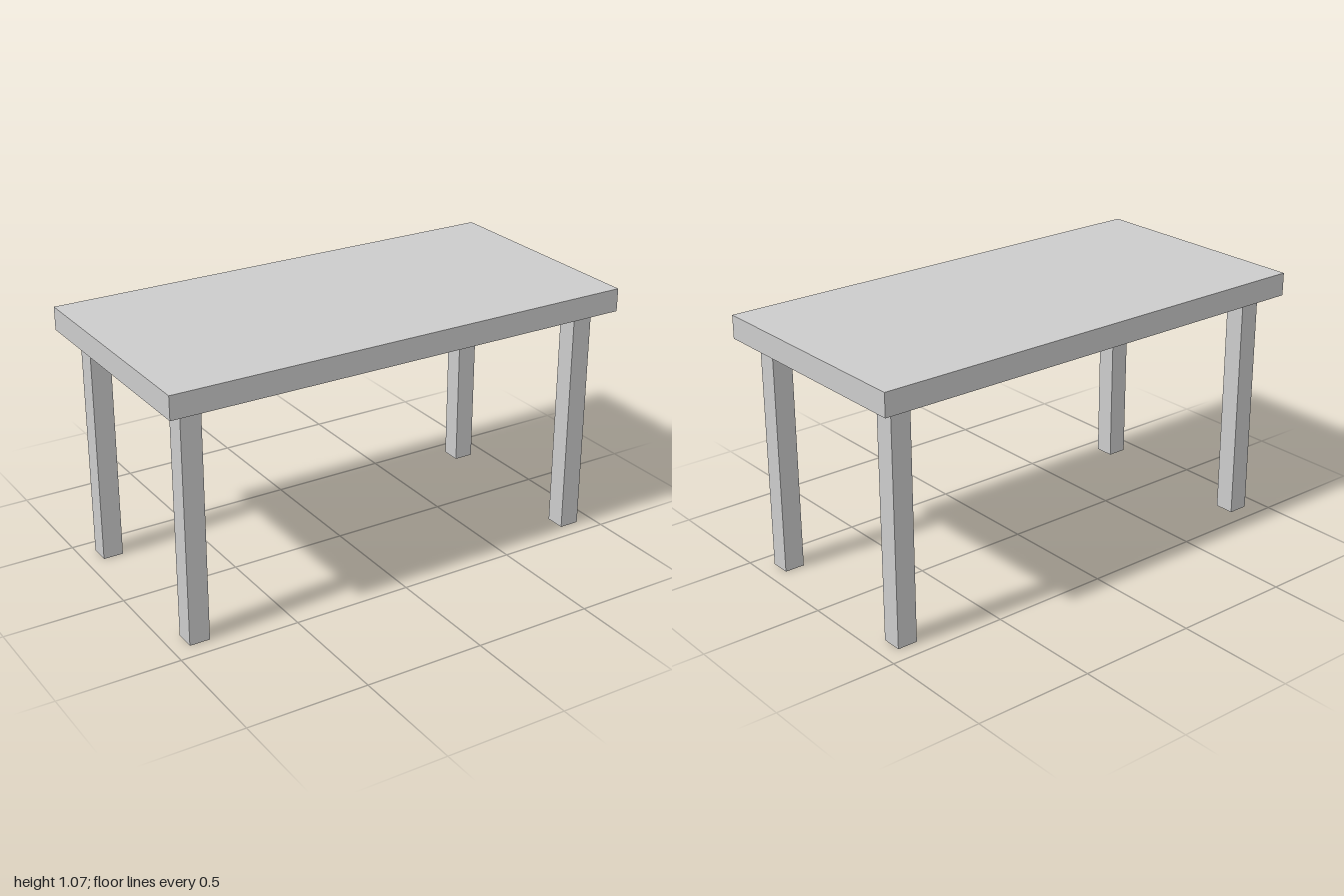
import * as THREE from 'three';

const LEG_HEIGHT = 0.975;
const LEG_WIDTH = 0.085;
const TOP_THICKNESS = 0.096;

export function createModel() {
  const table = new THREE.Group();
  table.name = 'table';
  const material = new THREE.MeshStandardMaterial({ color: 0xcccccc });

  function addBox(name, size, position) {
    const mesh = new THREE.Mesh(new THREE.BoxGeometry(...size), material);
    mesh.name = name;
    mesh.position.set(...position);
    table.add(mesh);
  }

  // Slab top
  addBox('tableTop', [2, TOP_THICKNESS, 1], [0, LEG_HEIGHT + TOP_THICKNESS / 2, 0]);

  // Four square legs, inset from the corners
  for (const [end, z] of [['front', 0.386], ['back', -0.386]]) {
    for (const [side, x] of [['Left', 0.885], ['Right', -0.885]]) {
      addBox(`${end}${side}Leg`, [LEG_WIDTH, LEG_HEIGHT, LEG_WIDTH], [x, LEG_HEIGHT / 2, z]);
    }
  }

  return table;
}
